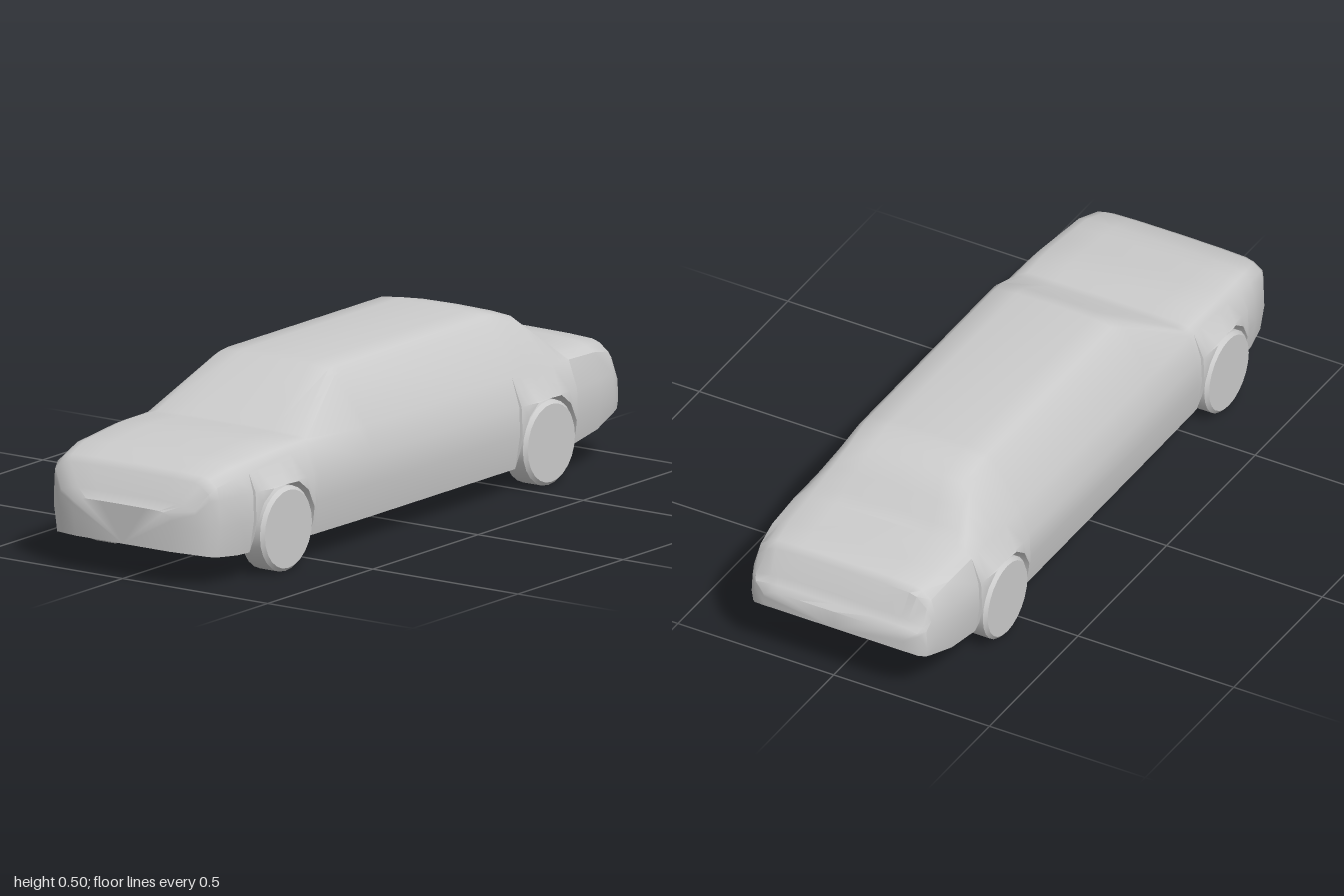
import * as THREE from 'three';
import { toCreasedNormals } from 'three/addons/utils/BufferGeometryUtils.js';

const WHEEL_Z = [0.66, -0.59];
const WHEEL_R = 0.122;
const WELL_X = 0.235;

// Body stations, nose to tail:
// z, underside y, half width, shoulder x, shoulder y, roof/hood edge x, edge y, centre top y
const STATIONS = [
  [1.0, 0.1, 0.17, 0.17, 0.2, 0.14, 0.21, 0.213],
  [0.975, 0.095, 0.235, 0.23, 0.22, 0.19, 0.23, 0.235],
  [0.955, 0.09, 0.27, 0.265, 0.27, 0.235, 0.29, 0.3],
  [0.93, 0.085, 0.285, 0.275, 0.285, 0.25, 0.305, 0.316],
  [0.85, 0.078, 0.302, 0.285, 0.3, 0.265, 0.325, 0.338],
  [0.64, 0.072, 0.314, 0.29, 0.322, 0.275, 0.34, 0.358],
  [0.5, 0.072, 0.316, 0.288, 0.33, 0.272, 0.342, 0.352],
  [0.28, 0.07, 0.316, 0.288, 0.33, 0.207, 0.47, 0.495],
  [0.24, 0.07, 0.316, 0.288, 0.33, 0.207, 0.472, 0.5],
  [-0.49, 0.07, 0.316, 0.288, 0.33, 0.207, 0.472, 0.5],
  [-0.59, 0.075, 0.315, 0.288, 0.33, 0.204, 0.455, 0.475],
  [-0.72, 0.085, 0.313, 0.288, 0.33, 0.262, 0.345, 0.36],
  [-0.85, 0.105, 0.305, 0.283, 0.325, 0.255, 0.34, 0.355],
  [-0.93, 0.13, 0.292, 0.274, 0.31, 0.245, 0.332, 0.345],
  [-0.95, 0.135, 0.287, 0.27, 0.29, 0.238, 0.32, 0.33],
  [-0.967, 0.14, 0.282, 0.268, 0.235, 0.22, 0.245, 0.25],
  [-0.985, 0.148, 0.265, 0.26, 0.222, 0.21, 0.23, 0.232],
  [-1.0, 0.16, 0.225, 0.225, 0.2, 0.2, 0.212, 0.216],
];

// Half of a wheel arch: distance from the axle, arch height
const ARCH = [[0, 0.25], [0.055, 0.248], [0.1, 0.215], [0.13, 0.16], [0.134, 0.12]];

function stationAt(z) {
  let i = 0;
  while (i < STATIONS.length - 2 && z < STATIONS[i + 1][0]) i++;
  const a = STATIONS[i], b = STATIONS[i + 1];
  const t = (a[0] - z) / (a[0] - b[0]);
  return a.map((v, k) => v + (b[k] - v) * t);
}

// Closed cross-section, from the bottom centre round by +x
function section([z, yb, w, ws, ys, xr, yr, yt], archY) {
  const ya = archY ?? yb;
  if (archY) w += 0.007;
  const inner = Math.min(WELL_X, w * 0.75);
  const yMid = Math.max(Math.min(0.17, ys - 0.02), ya);
  const yBelt = Math.max(Math.min(0.25, ys - 0.01), ya);
  const tuck = Math.max(0, (yMid - ya) / 0.1);
  const half = [
    [0, yb], [inner, yb], [inner, ya],
    [w * (1 - 0.055 * Math.min(1, tuck)), ya],
    [w, yMid], [w * 0.99, yBelt], [ws, ys],
    [xr, yr], [xr * 0.9, yr + 0.62 * (yt - yr)],
    [xr * 0.57, yt - 0.1 * (yt - yr)], [0, yt],
  ];
  const mirrored = half.slice(1, -1).reverse().map(([x, y]) => [-x, y]);
  return [...half, ...mirrored].map(([x, y]) => new THREE.Vector3(x, y, z));
}

function bodyGeometry() {
  const list = STATIONS
    .filter(s => WHEEL_Z.every(c => Math.abs(s[0] - c) > 0.136))
    .map(s => [s[0]]);
  for (const c of WHEEL_Z) {
    for (const side of [1, -1]) {
      for (const [d, y] of ARCH) if (d || side > 0) list.push([c + side * d, y]);
      list.push([c + side * 0.136]);
    }
  }
  // keep the rear window break inside the rear arch
  list.sort((a, b) => b[0] - a[0]);
  const rings = list.map(([z, y]) => section(stationAt(z), y));

  const pos = [];
  const tri = (a, b, c) => {
    const area = b.clone().sub(a).cross(c.clone().sub(a)).length();
    if (area > 1e-9) for (const p of [a, b, c]) pos.push(p.x, p.y, p.z);
  };
  const n = rings[0].length;
  for (let i = 0; i < rings.length - 1; i++) {
    for (let j = 0; j < n; j++) {
      const k = (j + 1) % n;
      const a = rings[i][j], b = rings[i][k], c = rings[i + 1][j], d = rings[i + 1][k];
      tri(a, c, b);
      tri(b, c, d);
    }
  }
  // nose and tail caps
  const first = rings[0], last = rings[rings.length - 1];
  for (let j = 1; j < n - 1; j++) {
    tri(first[0], first[j], first[j + 1]);
    tri(last[0], last[j + 1], last[j]);
  }
  const geo = new THREE.BufferGeometry();
  geo.setAttribute('position', new THREE.Float32BufferAttribute(pos, 3));
  return toCreasedNormals(geo, 0.75);
}

// Solid wheel with bevelled rims, axle along x
function wheelGeometry() {
  const h = 0.0425, r = WHEEL_R, b = 0.01;
  const profile = [[0, -h], [r - b, -h], [r, -h + b], [r, h - b], [r - b, h], [0, h]]
    .map(([x, y]) => new THREE.Vector2(x, y));
  const geo = new THREE.LatheGeometry(profile, 24).rotateZ(-Math.PI / 2);
  return toCreasedNormals(geo, 0.6);
}

export function createModel() {
  const car = new THREE.Group();
  car.name = 'limousine';
  const grey = new THREE.MeshStandardMaterial({ color: 0xcccccc, side: THREE.DoubleSide });

  const body = new THREE.Mesh(bodyGeometry(), grey);
  body.name = 'body';
  car.add(body);

  const wheelGeo = wheelGeometry();
  WHEEL_Z.forEach((z, i) => {
    for (const side of [1, -1]) {
      const wheel = new THREE.Mesh(wheelGeo, grey);
      wheel.name = (i ? 'rear' : 'front') + (side > 0 ? 'Left' : 'Right') + 'Wheel';
      wheel.position.set(side * 0.2825, WHEEL_R, z);
      car.add(wheel);
    }
  });
  return car;
}
